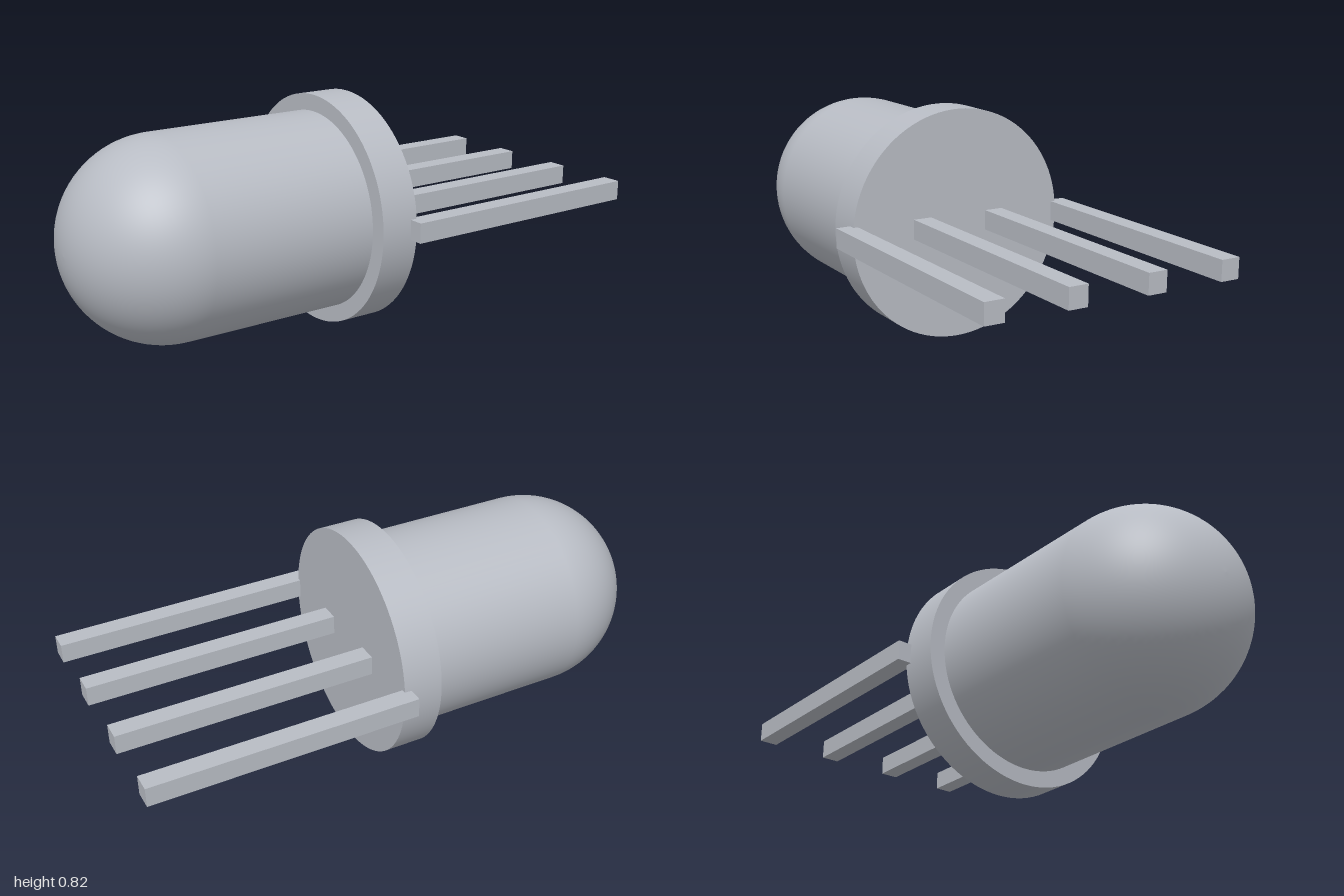
import * as THREE from 'three';

const CENTRE_Y = 0.408;

export function createModel() {
  const group = new THREE.Group();
  const grey = new THREE.MeshStandardMaterial({ color: 0xb8bcc4 });
  grey.name = 'cool grey';

  const add = (name, geometry, x, y, z) => {
    const mesh = new THREE.Mesh(geometry, grey);
    mesh.name = name;
    mesh.position.set(x, y, z);
    group.add(mesh);
    return mesh;
  };

  // Lens: straight barrel ending in a hemisphere
  const lensRadius = 0.35;
  const domeStart = 0.65;
  const profile = [new THREE.Vector2(lensRadius, 0.05)];
  for (let i = 0; i <= 24; i++) {
    const a = (i / 24) * Math.PI / 2;
    profile.push(new THREE.Vector2(
      i === 24 ? 0 : lensRadius * Math.cos(a),
      domeStart + lensRadius * Math.sin(a)));
  }
  add('lens', new THREE.LatheGeometry(profile, 96).rotateX(Math.PI / 2), 0, CENTRE_Y, 0);

  // Flange: wide flat disc at the base of the lens
  add('flange', new THREE.CylinderGeometry(0.408, 0.408, 0.14, 96).rotateX(Math.PI / 2),
    0, CENTRE_Y, -0.015);

  // Four square leads, the outer pair overhanging the flange
  const leadFront = -0.06;
  const leadLength = 1 + leadFront;
  for (const x of [-0.424, -0.143, 0.143, 0.424]) {
    add('lead', new THREE.BoxGeometry(0.068, 0.07, leadLength),
      x, 0.411, -1 + leadLength / 2);
  }

  return group;
}
